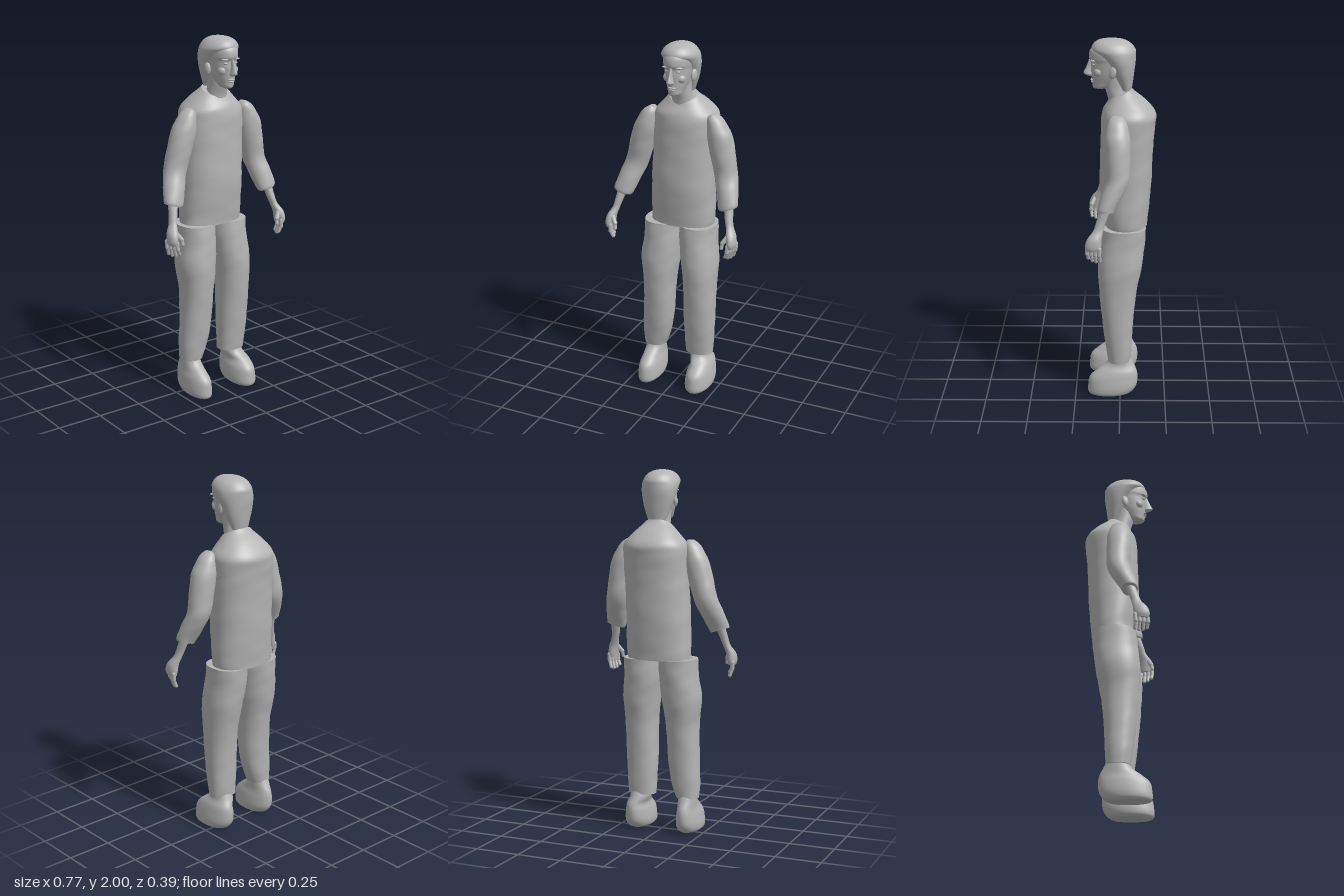
import * as THREE from 'three';

const grey = new THREE.MeshStandardMaterial({ color: 0xb4b4b4 });
grey.name = 'plainGrey';

function mesh(name, geo) {
  const m = new THREE.Mesh(geo, grey);
  m.name = name;
  return m;
}

// Smooth skin over oval rings listed bottom to top.
// Ring: [x, y, z, halfWidth, halfDepth, slopeAlongX, slopeAlongZ]
function loft(name, rings, { n = 2, sides = 40, steps = 6, wrinkle = 0 } = {}) {
  const rows = [];
  const at = (i, k) => rings[Math.min(Math.max(i, 0), rings.length - 1)][k] ?? 0;
  for (let i = 0; i < rings.length - 1; i++) {
    for (let s = 0; s < steps + (i === rings.length - 2 ? 1 : 0); s++) {
      const t = s / steps;
      rows.push([0, 1, 2, 3, 4, 5, 6].map((k) => {
        const a = at(i - 1, k), b = at(i, k), c = at(i + 1, k), d = at(i + 2, k);
        return b + 0.5 * t * (c - a + t * (2 * a - 5 * b + 4 * c - d + t * (3 * (b - c) + d - a)));
      }));
    }
  }
  const pos = [], idx = [];
  const addRing = ([x, y, z, w, d, sx, sz]) => {
    for (let j = 0; j < sides; j++) {
      const a = (j / sides) * Math.PI * 2, c = Math.cos(a), s = Math.sin(a);
      const fold = 1 + wrinkle * (Math.sin(y * 37 + 2 * Math.sin(a * 2)) + 0.6 * Math.sin(y * 71 + a * 3));
      const dx = Math.sign(c) * Math.abs(c) ** (2 / n) * w * fold;
      const dz = Math.sign(s) * Math.abs(s) ** (2 / n) * d * fold;
      pos.push(x + dx, y + dx * sx + dz * sz, z + dz);
    }
  };
  rows.forEach(addRing);
  for (let i = 0; i < rows.length - 1; i++) {
    for (let j = 0; j < sides; j++) {
      const p = i * sides + j, q = i * sides + ((j + 1) % sides);
      idx.push(p, p + sides, q, q, p + sides, q + sides);
    }
  }
  // Flat end caps with their own vertices so the rims stay crisp
  [rows[0], rows[rows.length - 1]].forEach((r, top) => {
    const start = pos.length / 3;
    addRing(r);
    pos.push(r[0], r[1], r[2]);
    for (let j = 0; j < sides; j++) {
      const p = start + j, q = start + ((j + 1) % sides);
      idx.push(start + sides, top ? q : p, top ? p : q);
    }
  });
  const g = new THREE.BufferGeometry();
  g.setAttribute('position', new THREE.Float32BufferAttribute(pos, 3));
  g.setIndex(idx);
  g.computeVertexNormals();
  return mesh(name, g);
}

function ellipsoid(name, p, r) {
  return mesh(name, new THREE.SphereGeometry(1, 20, 14).scale(...r).translate(...p));
}

// Rounded finger segment between two points
function finger(name, a, b, r) {
  const A = new THREE.Vector3(...a), B = new THREE.Vector3(...b), d = B.clone().sub(A);
  const m = mesh(name, new THREE.CapsuleGeometry(r, d.length(), 4, 10));
  m.quaternion.setFromUnitVectors(new THREE.Vector3(0, 1, 0), d.clone().normalize());
  m.position.copy(A).add(B).multiplyScalar(0.5);
  return m;
}

function buildHead() {
  const g = new THREE.Group(), cx = 0.017;
  g.name = 'head';
  g.add(loft('neck', [
    [cx, 1.6, 0.01, 0.065, 0.05], [cx, 1.68, 0.015, 0.058, 0.052],
    [cx, 1.74, 0.025, 0.053, 0.06], [cx, 1.8, 0.03, 0.055, 0.065]]));
  g.add(loft('face', [
    [cx, 1.728, 0.11, 0.014, 0.016], [cx, 1.738, 0.1, 0.034, 0.045], [cx, 1.765, 0.08, 0.046, 0.07],
    [cx, 1.8, 0.065, 0.059, 0.088], [cx, 1.84, 0.055, 0.068, 0.102], [cx, 1.875, 0.052, 0.073, 0.104],
    [cx, 1.9, 0.052, 0.077, 0.114], [cx, 1.94, 0.055, 0.075, 0.103], [cx, 1.975, 0.05, 0.05, 0.07]]));
  g.add(loft('hair', [
    [cx, 1.725, -0.03, 0.05, 0.03], [cx, 1.77, -0.022, 0.068, 0.045], [cx, 1.82, -0.012, 0.085, 0.062],
    [cx, 1.87, 0, 0.097, 0.08], [cx, 1.91, 0.018, 0.101, 0.1], [cx, 1.94, 0.036, 0.098, 0.116],
    [cx, 1.97, 0.042, 0.08, 0.1], [cx, 1.99, 0.045, 0.05, 0.068], [cx, 1.999, 0.045, 0.01, 0.015]],
    { wrinkle: 0.006 }));
  g.add(loft('nose', [
    [cx, 1.798, 0.153, 0.01, 0.018], [cx, 1.808, 0.163, 0.017, 0.028], [cx, 1.82, 0.165, 0.014, 0.029],
    [cx, 1.85, 0.157, 0.009, 0.022], [cx, 1.885, 0.15, 0.008, 0.016]], { sides: 16, steps: 4 }));
  g.add(ellipsoid('upperLip', [cx, 1.778, 0.147, 0.023, 0].slice(0, 3), [0.023, 0.006, 0.013]));
  g.add(ellipsoid('lowerLip', [cx, 1.767, 0.144], [0.019, 0.006, 0.012]));
  g.add(ellipsoid('chin', [cx, 1.743, 0.128], [0.022, 0.015, 0.02]));
  for (const s of [-1, 1]) {
    g.add(ellipsoid('eye', [cx + s * 0.031, 1.865, 0.138], [0.014, 0.007, 0.012]));
    g.add(ellipsoid('brow', [cx + s * 0.034, 1.886, 0.142], [0.023, 0.006, 0.015]));
    g.add(ellipsoid('cheek', [cx + s * 0.036, 1.825, 0.115], [0.026, 0.026, 0.026]));
    const ear = ellipsoid('ear', [0, 0, 0], [0.012, 0.034, 0.02]);
    ear.position.set(cx + s * 0.078, 1.83, 0.04);
    ear.rotation.set(-0.2, s * -0.35, 0);
    g.add(ear);
  }
  return g;
}

function buildArm(s) {
  const g = new THREE.Group();
  g.name = s > 0 ? 'leftArm' : 'rightArm';
  // Shoulders are centred slightly towards the model's left
  const place = (rings) => rings.map(([x, y, z, w, d, slope = 0]) =>
    [s * x + 0.018 * THREE.MathUtils.clamp((y - 1.1) / 0.4, 0, 1), y, z, w, d, s * slope]);
  g.add(loft('sleeve', place([
    [0.314, 1.13, 0.076, 0.05, 0.043, 0.3], [0.308, 1.15, 0.072, 0.055, 0.048, 0.3],
    [0.288, 1.22, 0.042, 0.059, 0.058, 0.25], [0.263, 1.3, 0.012, 0.062, 0.062, 0.2],
    [0.24, 1.4, 0.012, 0.067, 0.066, 0.15], [0.217, 1.5, 0.013, 0.067, 0.068, 0.1],
    [0.201, 1.56, 0.014, 0.055, 0.058], [0.188, 1.6, 0.015, 0.04, 0.045],
    [0.18, 1.622, 0.015, 0.016, 0.026]]), { wrinkle: 0.01 }));
  g.add(loft('hand', place([
    [0.361, 0.935, 0.14, 0.02, 0.036], [0.362, 0.96, 0.14, 0.025, 0.043], [0.356, 1, 0.133, 0.026, 0.038],
    [0.34, 1.04, 0.113, 0.02, 0.027], [0.329, 1.08, 0.1, 0.022, 0.026],
    [0.315, 1.15, 0.076, 0.027, 0.028]]), { sides: 20, steps: 4 }));
  for (let i = 0; i < 4; i++) {
    const x = 0.375 - i * 0.008, z = 0.107 + i * 0.021, tip = 0.888 - 0.01 * Math.sin(i * 1.05) + 0.003 * i;
    g.add(finger('finger', [s * x, 0.95, z], [s * (x - 0.002), 0.915, z + 0.002], 0.0115));
    g.add(finger('fingerTip', [s * (x - 0.002), 0.915, z + 0.002], [s * (x - 0.014), tip - 0.01, z - 0.003], 0.0095));
  }
  g.add(finger('thumb', [s * 0.345, 1.0, 0.15], [s * 0.322, 0.965, 0.168], 0.013));
  g.add(finger('thumbTip', [s * 0.322, 0.965, 0.168], [s * 0.318, 0.937, 0.174], 0.01));
  return g;
}

function buildLeg(s) {
  const g = new THREE.Group();
  g.name = s > 0 ? 'leftLeg' : 'rightLeg';
  const left = s > 0;
  // Centre x and half width at each height, bottom to top
  const across = left
    ? [[0.12, 0.078], [0.122, 0.083], [0.123, 0.088], [0.125, 0.09], [0.12, 0.1], [0.105, 0.102], [0.103, 0.102]]
    : [[-0.153, 0.063], [-0.141, 0.08], [-0.128, 0.087], [-0.12, 0.09], [-0.118, 0.107], [-0.107, 0.104], [-0.105, 0.104]];
  const along = [[0.195, 0.005, 0.063], [0.28, 0.008, 0.073], [0.4, 0.013, 0.083], [0.6, 0.013, 0.102],
    [0.75, 0.002, 0.12], [0.88, -0.012, 0.122], [0.975, -0.02, 0.12]];
  g.add(loft('trouserLeg', along.map(([y, z, d], i) => [across[i][0], y, z, across[i][1], d]),
    { n: 2.2, wrinkle: 0.007 }));
  const cx = left ? 0.146 : -0.155, w = left ? 1.12 : 1;
  const ankle = left ? 0.13 : -0.155;
  g.add(loft('shoe', [
    [cx, 0, 0.064, 0.052 * w, 0.108], [cx, 0.015, 0.056, 0.064 * w, 0.125], [cx, 0.05, 0.044, 0.067 * w, 0.136],
    [cx, 0.1, 0.036, 0.061 * w, 0.134], [cx, 0.14, 0.018, 0.052 * w, 0.11],
    [ankle, 0.18, 0.002, 0.05 * w, 0.074], [ankle, 0.23, 0.002, 0.05 * w, 0.052]], { n: 2.1 }));
  return g;
}

export function createModel() {
  const model = new THREE.Group();
  model.name = 'standingFigure';
  // Jacket body with sloping shoulders and a collar dipping at the front
  model.add(loft('jacket', [
    [0.002, 0.972, -0.03, 0.18, 0.118], [0.005, 1.02, -0.03, 0.182, 0.122], [0.008, 1.2, -0.028, 0.18, 0.14],
    [0.014, 1.4, -0.034, 0.178, 0.142], [0.017, 1.54, -0.042, 0.18, 0.146], [0.018, 1.6, -0.045, 0.174, 0.143],
    [0.018, 1.645, -0.03, 0.138, 0.115, 0, -0.1], [0.017, 1.685, -0.008, 0.097, 0.075, 0, -0.3],
    [0.017, 1.705, 0, 0.075, 0.06, 0, -0.45]], { n: 2.2, sides: 56, wrinkle: 0.006 }));
  model.add(buildHead());
  for (const s of [-1, 1]) model.add(buildArm(s), buildLeg(s));
  return model;
}
